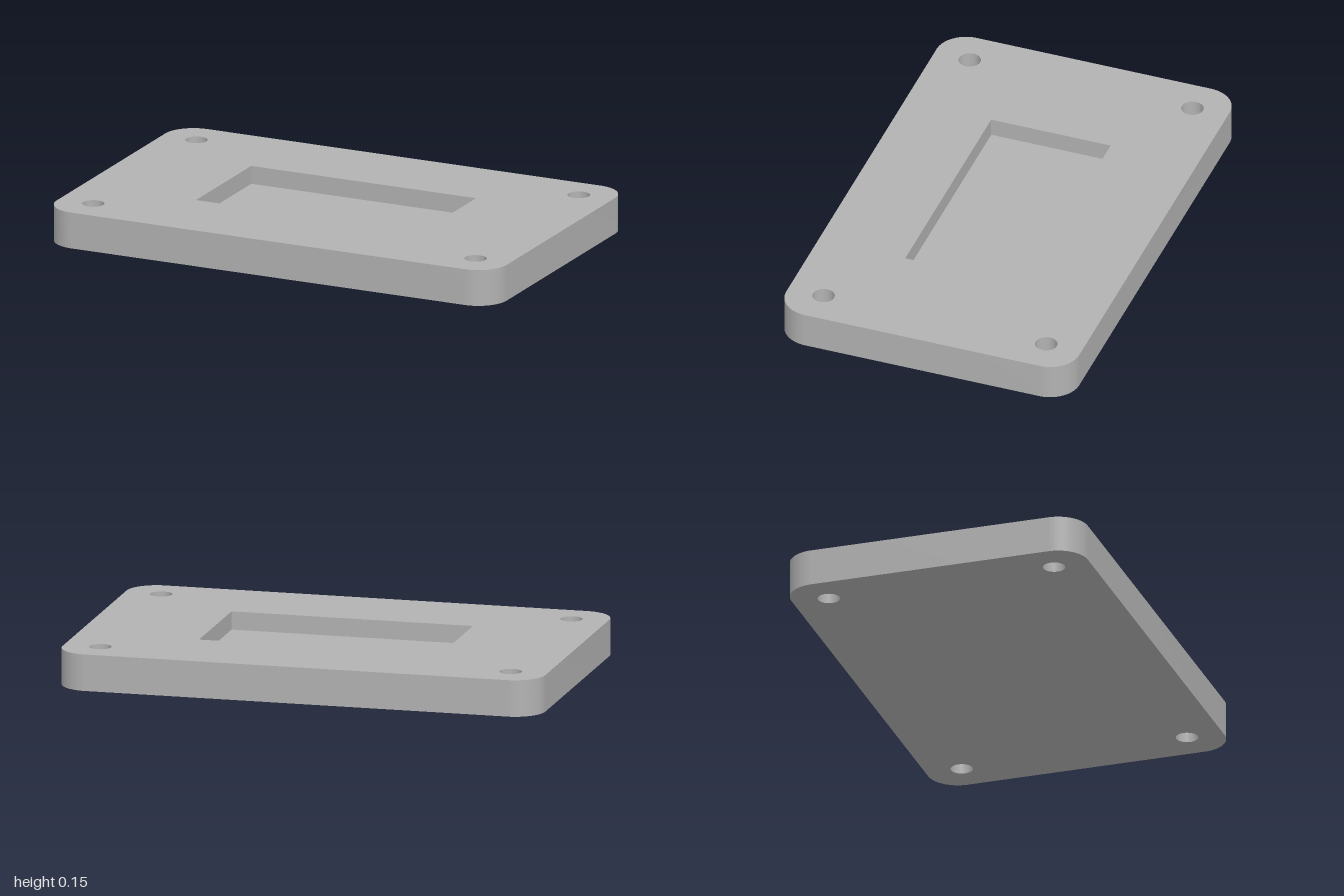
import * as THREE from 'three';
import { toCreasedNormals } from 'three/addons/utils/BufferGeometryUtils.js';

const W = 2, D = 1.25, H = 0.15, CORNER = 0.125;
const HOLE = { x: 0.85, z: 0.475, r: 0.045 };
const POCKET = { w: 1, d: 0.51, depth: 0.075 };

// Rounded outline with the four screw holes
function plateShape() {
  const s = new THREE.Shape();
  const cx = W / 2 - CORNER, cz = D / 2 - CORNER;
  [[1, 1], [-1, 1], [-1, -1], [1, -1]].forEach(([sx, sz], i) => {
    s.absarc(sx * cx, sz * cz, CORNER, i * Math.PI / 2, (i + 1) * Math.PI / 2, false);
    s.holes.push(new THREE.Path().absarc(sx * HOLE.x, sz * HOLE.z, HOLE.r, 0, Math.PI * 2, true));
  });
  s.closePath();
  return s;
}

// Only the side walls of an extruded shape, without its caps
function wallGeometry(shape, height) {
  const full = new THREE.ExtrudeGeometry(shape, { depth: height, bevelEnabled: false, curveSegments: 16 });
  const start = full.groups[1].start * 3;
  const walls = new THREE.BufferGeometry();
  walls.setAttribute('position',
    new THREE.BufferAttribute(full.attributes.position.array.slice(start), 3));
  return toCreasedNormals(walls.rotateX(-Math.PI / 2), Math.PI / 5);
}

// Open-topped box turned inside out
function pocketGeometry() {
  const g = new THREE.BoxGeometry(POCKET.w, POCKET.depth, POCKET.d);
  const index = Array.from(g.index.array);
  index.splice(12, 6); // leave the top open
  g.setIndex(index.reverse());
  g.clearGroups();
  g.computeVertexNormals();
  return g.translate(0, H - POCKET.depth / 2, 0);
}

export function createModel() {
  const group = new THREE.Group();
  group.name = 'mountingPlate';
  const grey = new THREE.MeshStandardMaterial({ color: 0xb2b2b2 });
  grey.name = 'grey';

  const add = (name, geometry) => {
    const mesh = new THREE.Mesh(geometry, grey);
    mesh.name = name;
    group.add(mesh);
  };

  // Outer rim and hole walls
  add('plateWalls', wallGeometry(plateShape(), H));

  // Underside
  add('plateBottom', new THREE.ShapeGeometry(plateShape(), 16).rotateX(Math.PI / 2));

  // Top face, cut out around the pocket
  const top = plateShape();
  const x = POCKET.w / 2, z = POCKET.d / 2;
  top.holes.push(new THREE.Path().moveTo(-x, -z).lineTo(-x, z).lineTo(x, z).lineTo(x, -z).lineTo(-x, -z));
  add('plateTop', new THREE.ShapeGeometry(top, 16).rotateX(-Math.PI / 2).translate(0, H, 0));

  // Recessed rectangular pocket
  add('pocket', pocketGeometry());

  return group;
}
